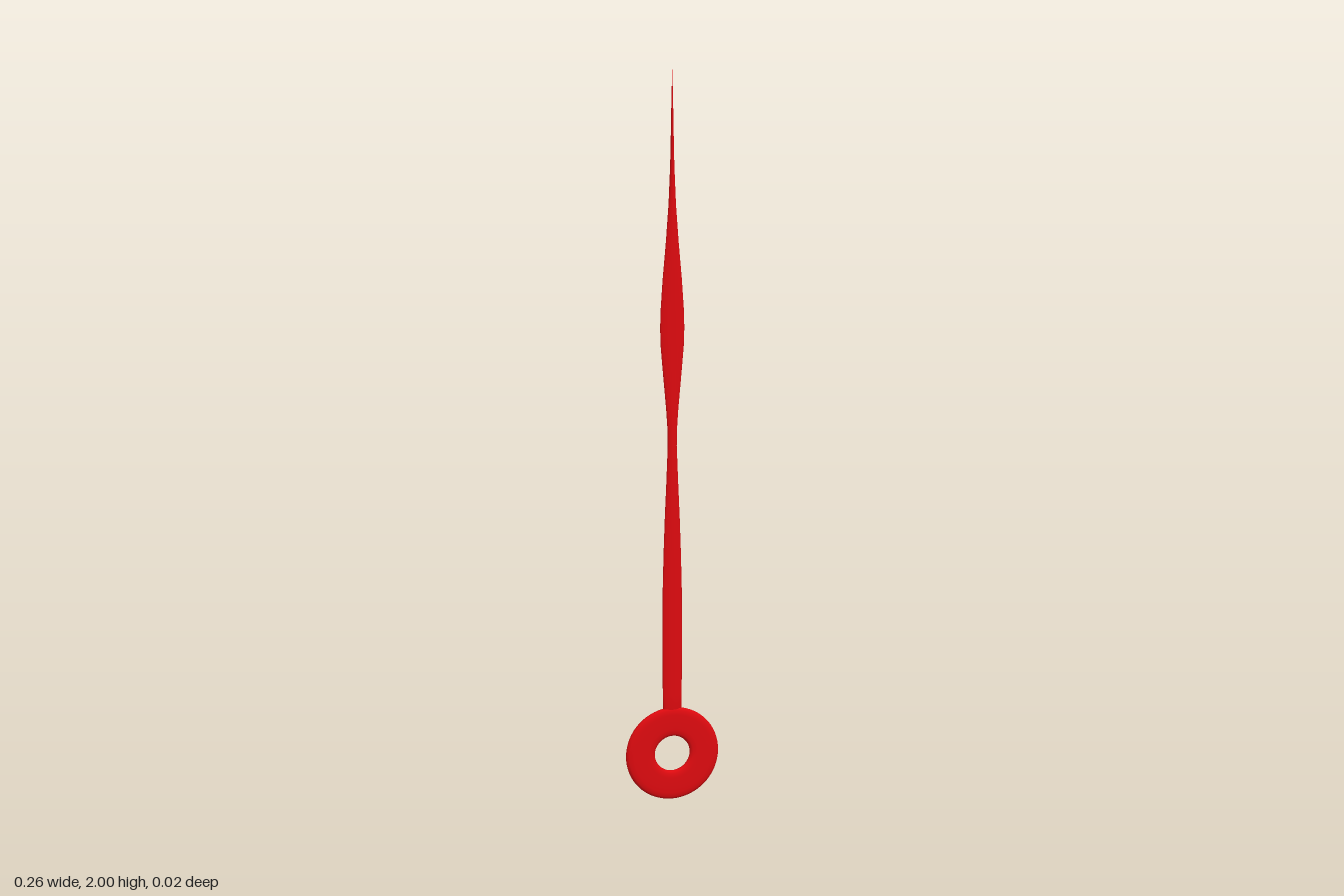
import * as THREE from 'three';
import { mergeVertices } from 'three/addons/utils/BufferGeometryUtils.js';

const red = new THREE.MeshStandardMaterial({ color: 0xdd0a0f });

// Weld the lathe seam and rebuild smooth normals
function smooth(geometry) {
  geometry.deleteAttribute('uv');
  geometry.deleteAttribute('normal');
  const welded = mergeVertices(geometry, 1e-6);
  welded.computeVertexNormals();
  return welded;
}

// Flat ring with rounded rims, hole along z
function makeRing() {
  const half = [
    [0.05, 0], [0.0515, 0.005], [0.058, 0.0085], [0.07, 0.01],
    [0.112, 0.01], [0.124, 0.0085], [0.1305, 0.005], [0.132, 0],
  ];
  const lower = half.map(([r, h]) => new THREE.Vector2(r, -h));
  const upper = half.slice(0, -1).reverse().map(([r, h]) => new THREE.Vector2(r, h));
  const geometry = smooth(new THREE.LatheGeometry([...lower, ...upper], 64));
  geometry.rotateX(Math.PI / 2);
  const ring = new THREE.Mesh(geometry, red);
  ring.name = 'mountingRing';
  ring.position.y = 0.132;
  return ring;
}

// Tapering blade: [height, half width], flattened to an oval section
function makeBlade() {
  const profile = [
    [0.24, 0], [0.24, 0.026], [0.3, 0.027], [0.45, 0.0275], [0.6, 0.027],
    [0.7, 0.0245], [0.8, 0.021], [0.9, 0.0165], [1.0, 0.0125], [1.04, 0.013],
    [1.1, 0.017], [1.2, 0.026], [1.27, 0.032], [1.32, 0.0335], [1.37, 0.032],
    [1.45, 0.0265], [1.55, 0.0175], [1.65, 0.01], [1.75, 0.0055], [1.81, 0.004],
    [1.9, 0.0025], [1.95, 0.0015], [2.0, 0],
  ];
  const points = profile.map(([y, r]) => new THREE.Vector2(r, y));
  const geometry = new THREE.LatheGeometry(points, 24);
  const pos = geometry.attributes.position;
  // Even thickness along the blade, thinning only at the tip
  for (let i = 0; i < pos.count; i++) {
    const x = pos.getX(i), y = pos.getY(i), z = pos.getZ(i);
    const r = Math.hypot(x, z);
    const depth = 0.007 * Math.min(1, Math.max(0.05, (2 - y) / 0.18));
    pos.setZ(i, r > 1e-6 ? (z / r) * depth : 0);
  }
  const blade = new THREE.Mesh(smooth(geometry), red);
  blade.name = 'blade';
  return blade;
}

export function createModel() {
  const group = new THREE.Group();
  group.name = 'clockHand';
  group.add(makeRing(), makeBlade());
  return group;
}
